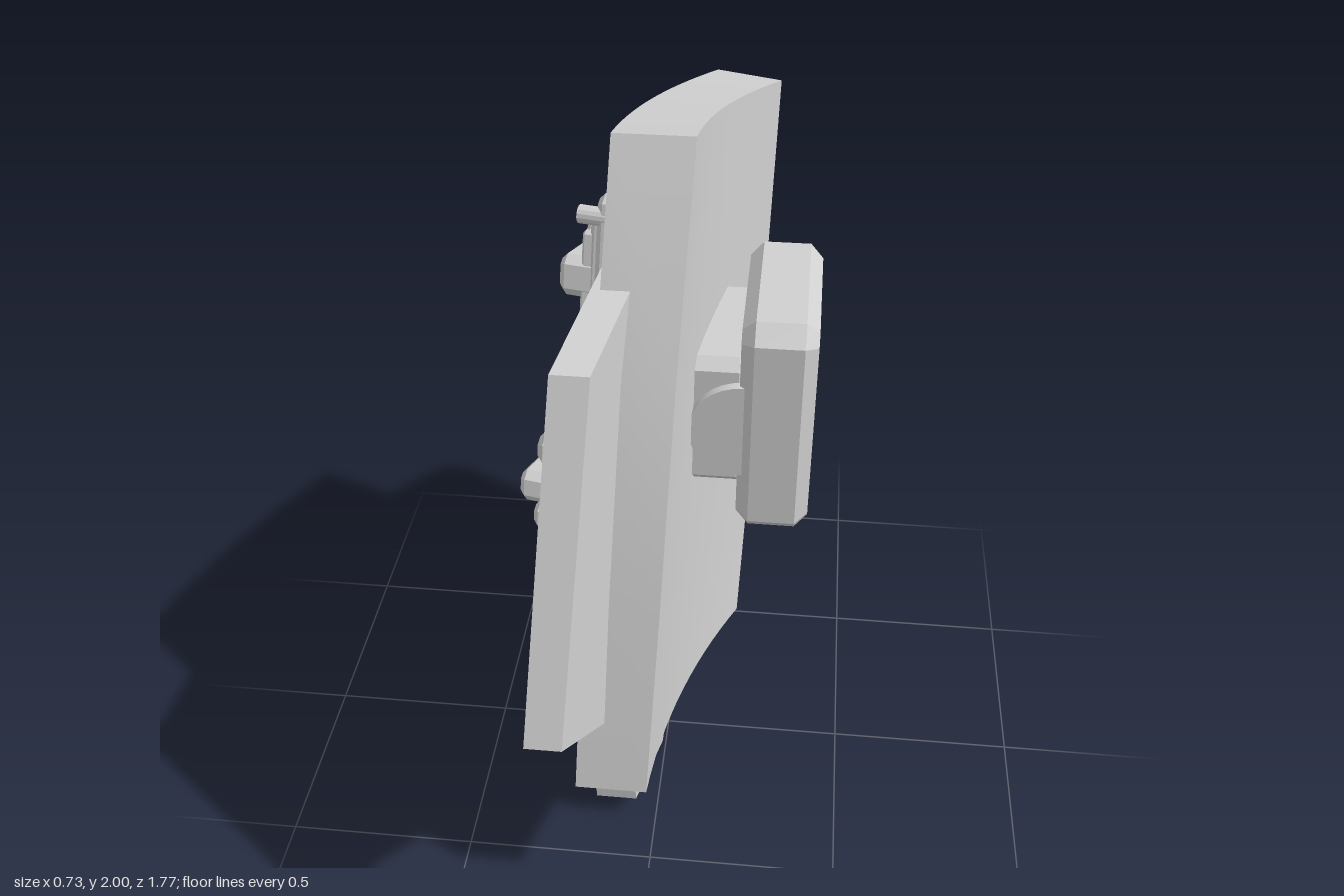
import * as THREE from 'three';
import { toCreasedNormals } from 'three/addons/utils/BufferGeometryUtils.js';

const grey = new THREE.MeshStandardMaterial({ color: 0xd0d0d0 });
grey.name = 'plain grey';

function add(parent, name, geo, crease = 0.4) {
  const mesh = new THREE.Mesh(toCreasedNormals(geo, crease), grey);
  mesh.name = name;
  parent.add(mesh);
  return mesh;
}

// Box with clipped corners and chamfered rims; depth runs from z0 to z1
function chamferBox(w, h, z0, z1, c) {
  const a = w / 2 - c, b = h / 2 - c, k = c * 0.8;
  const pts = [[-a + k, -b], [a - k, -b], [a, -b + k], [a, b - k], [a - k, b], [-a + k, b], [-a, b - k], [-a, -b + k]];
  const shape = new THREE.Shape(pts.map(p => new THREE.Vector2(...p)));
  const geo = new THREE.ExtrudeGeometry(shape, {
    depth: z1 - z0 - 2 * c, bevelEnabled: true, bevelSize: c, bevelThickness: c, bevelSegments: 1,
  });
  return geo.translate(0, 0, z0 + c);
}

// Flat plate drawn as [z, y] corners, sheared so that its outer face follows outerX(z, y)
function plate(corners, outerX, thick) {
  const shape = new THREE.Shape(corners.map(p => new THREE.Vector2(...p)));
  const geo = new THREE.ExtrudeGeometry(shape, { depth: thick, bevelEnabled: false });
  const p = geo.attributes.position;
  for (let i = 0; i < p.count; i++) {
    const z = p.getX(i), y = p.getY(i), w = p.getZ(i);
    p.setXYZ(i, outerX(z, y) + thick - w, y, z);
  }
  return geo;
}

// Curved slab: rows run from top to bottom, each bowed towards -x across its width
function shieldBody() {
  const rows = [
    // front edge z, y, outer x, inner x | rear edge inner z, outer z, y, outer x, inner x
    [0.21, 2.0, -0.10, 0.08, -0.635, -0.69, 1.775, 0.06, 0.23],
    [0.415, 1.517, -0.12, 0.058, -0.585, -0.63, 1.25, 0.045, 0.215],
    [0.548, 0.96, -0.145, 0.035, -0.484, -0.53, 0.705, 0.03, 0.2],
    [0.643, 0.446, -0.167, 0.01, -0.30, -0.357, 0.20, 0.01, 0.18],
  ];
  const n = 14, stride = (n + 1) * rows.length, pos = [], idx = [];
  for (const inner of [0, 1]) {
    for (const [zf, yf, xof, xif, zri, zro, yr, xor, xir] of rows) {
      for (let i = 0; i <= n; i++) {
        const t = i / n, bow = 0.15 * t * (1 - t);
        const a = inner ? xif : xof, b = inner ? xir : xor, zr = inner ? zri : zro;
        pos.push(a + (b - a) * t - bow, yf + (yr - yf) * t, zf + (zr - zf) * t);
      }
    }
  }
  const quad = (a, b, c, d) => idx.push(a, b, c, a, c, d);
  const at = (side, r, i) => side * stride + r * (n + 1) + i;
  const last = rows.length - 1;
  for (let r = 0; r < last; r++) {
    for (let i = 0; i < n; i++) {
      quad(at(1, r, i), at(1, r + 1, i), at(1, r + 1, i + 1), at(1, r, i + 1));
      quad(at(0, r, i), at(0, r, i + 1), at(0, r + 1, i + 1), at(0, r + 1, i));
    }
    quad(at(0, r, 0), at(0, r + 1, 0), at(1, r + 1, 0), at(1, r, 0));
    quad(at(1, r, n), at(1, r + 1, n), at(0, r + 1, n), at(0, r, n));
  }
  for (let i = 0; i < n; i++) {
    quad(at(0, 0, i), at(1, 0, i), at(1, 0, i + 1), at(0, 0, i + 1));
    quad(at(0, last, i), at(0, last, i + 1), at(1, last, i + 1), at(1, last, i));
  }
  const geo = new THREE.BufferGeometry();
  geo.setAttribute('position', new THREE.Float32BufferAttribute(pos, 3));
  geo.setIndex(idx);
  return geo;
}

// Raised machinery on the outer face; x is across, y is up the shield, z is outward
function machinery() {
  const g = new THREE.Group();
  g.name = 'outerMachinery';
  const bar = (name, x, y, w, h, z1, c = 0.012, z0 = -0.03) =>
    add(g, name, chamferBox(w, h, z0, z1, c), 0.2).position.set(x, y, 0);

  // Stepped backing
  bar('backingPlate', 0, 0, 0.58, 1.2, 0.035, 0.015, -0.12);
  bar('backingStep', 0, 0, 0.51, 1.12, 0.06);
  bar('lowerBar', 0, -0.725, 0.6, 0.24, 0.045, 0.025, -0.12);

  // Upper cross bars
  bar('upperRib', 0, 0.485, 0.46, 0.06, 0.08);
  bar('upperBar', 0, 0.385, 0.5, 0.1, 0.135, 0.015);
  bar('middleRib', 0, 0.24, 0.4, 0.07, 0.08);
  bar('middleRib', 0, 0.16, 0.42, 0.06, 0.09);

  // Central hub and stacked blocks
  bar('hubBase', 0, -0.02, 0.44, 0.28, 0.09);
  const hub = add(g, 'hub', new THREE.CylinderGeometry(0.13, 0.13, 0.13, 32).rotateX(Math.PI / 2));
  hub.position.set(0.02, 0, 0.04);
  bar('coreBlock', 0, -0.2, 0.41, 0.32, 0.16, 0.02);
  bar('coreBar', 0, -0.105, 0.4, 0.1, 0.2, 0.02);
  bar('coreBar', 0, -0.2, 0.43, 0.085, 0.235, 0.015);
  bar('coreBar', 0, -0.285, 0.41, 0.08, 0.2, 0.015);
  bar('lowerPanel', 0, -0.44, 0.38, 0.18, 0.1);

  for (const s of [-1, 1]) {
    // Rails along both sides
    bar('outerRail', s * 0.235, 0, 0.025, 1.0, 0.08, 0.006);
    bar('innerRail', s * 0.2, -0.3, 0.03, 0.42, 0.105, 0.008);
    // Bolts: x, y, tip height, radius
    for (const [x, y, z, r] of [[0.27, 0.545, 0.08, 0.022], [0.27, -0.545, 0.08, 0.022],
      [0.195, -0.04, 0.15, 0.016], [0.16, -0.41, 0.125, 0.016]]) {
      const bolt = add(g, 'bolt', new THREE.CylinderGeometry(r, r, z + 0.03, 14).rotateX(Math.PI / 2));
      bolt.position.set(s * x, y, (z - 0.03) / 2);
    }
  }

  const across = new THREE.Vector3(-0.201, 0.238, 0.951).normalize();
  const out = across.clone().cross(new THREE.Vector3(0.046, 0.965, -0.257)).normalize();
  const up = out.clone().cross(across);
  g.quaternion.setFromRotationMatrix(new THREE.Matrix4().makeBasis(across, up, out));
  g.position.set(-0.09, 1.13, -0.065);
  return g;
}

export function createModel() {
  const model = new THREE.Group();
  model.name = 'armShield';

  add(model, 'shieldBody', shieldBody());

  // Side wings and lower prong
  add(model, 'frontWing', plate([[0.26, 1.71], [0.56, 0.61], [0.89, 0.86], [0.61, 1.66]],
    z => -0.075 - 0.172 * z, 0.085));
  add(model, 'rearWing', plate([[-0.6, 1.49], [-0.885, 1.28], [-0.76, 0.44], [-0.32, 0.36]],
    (z, y) => -0.098 - 0.2 * z + 0.025 * (y - 1.2), 0.085));
  add(model, 'lowerProng', plate([[0.4, 0.5], [-0.12, 0.5], [-0.12, 0.27], [0.08, 0], [0.36, 0.07]],
    z => -0.107 - 0.16 * z, 0.11));

  // Grip pad with its mount on the inner side
  const grip = new THREE.Group();
  grip.name = 'grip';
  grip.position.set(0, 1.195, -0.08);
  add(grip, 'gripPad', chamferBox(0.47, 0.61, 0.183, 0.365, 0.032).rotateY(Math.PI / 2), 0.3);
  add(grip, 'gripMount', chamferBox(0.38, 0.37, 0.04, 0.2, 0.02).rotateY(Math.PI / 2), 0.3);
  const pivot = add(grip, 'gripPivot', new THREE.CylinderGeometry(0.13, 0.13, 0.43, 32).rotateX(Math.PI / 2));
  pivot.position.set(0.19, 0, 0);
  model.add(grip);

  model.add(machinery());
  return model;
}
